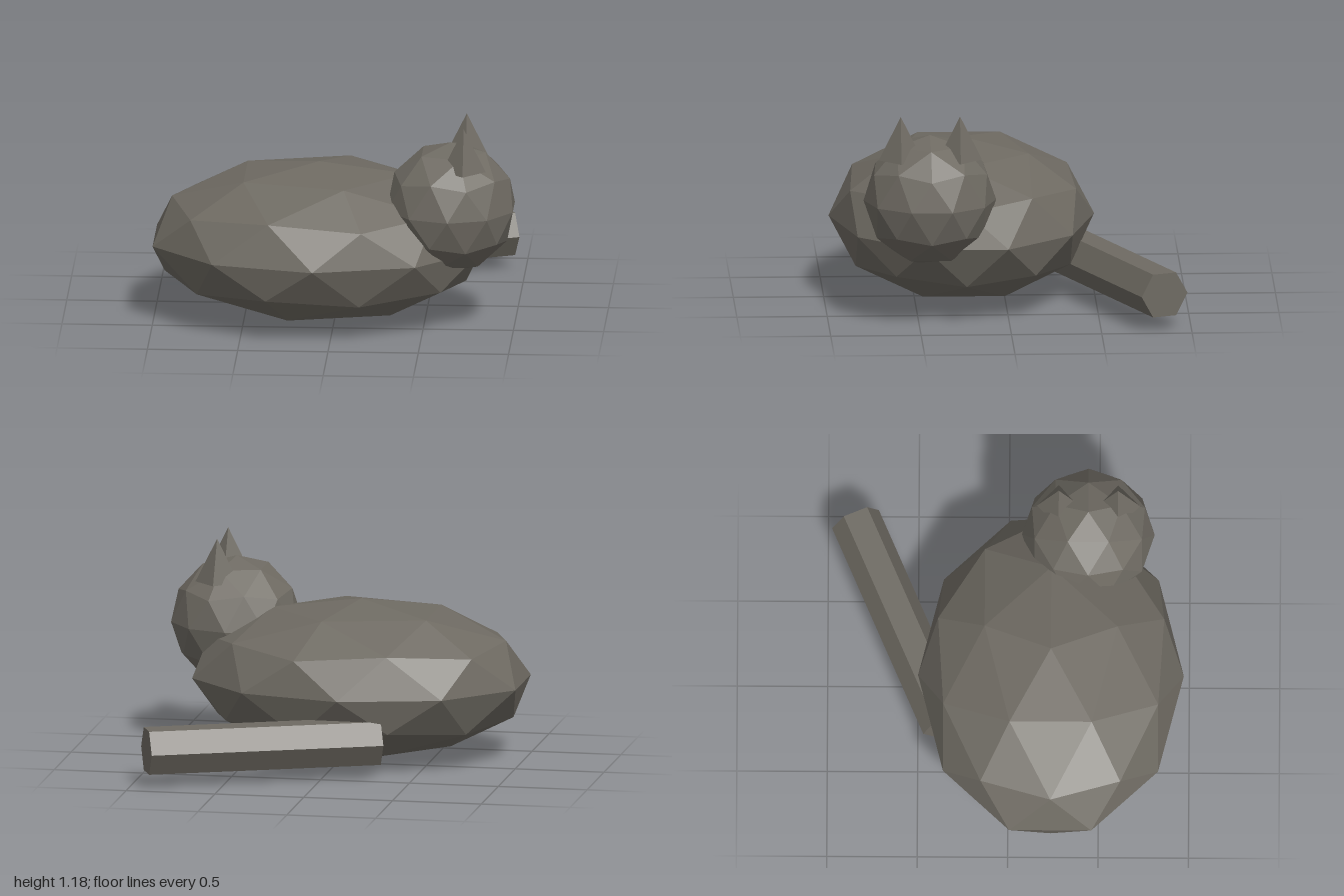
import * as THREE from 'three';

export function createModel() {
  const cat = new THREE.Group();
  cat.name = 'lyingCat';
  const fur = new THREE.MeshStandardMaterial({ name: 'warm grey fur', color: 0x6e6a62 });

  // One flat normal per face
  function add(name, geometry, x, y, z) {
    const flat = geometry.index ? geometry.toNonIndexed() : geometry;
    flat.computeVertexNormals();
    const mesh = new THREE.Mesh(flat, fur);
    mesh.name = name;
    mesh.position.set(x, y, z);
    cat.add(mesh);
    return mesh;
  }

  // Faceted ball with a corner of the icosahedron at its top
  function ball(rx, ry, rz) {
    const tilt = Math.atan(2 / (1 + Math.sqrt(5)));
    return new THREE.IcosahedronGeometry(1, 1).rotateZ(-tilt).scale(rx, ry, rz);
  }

  add('body', ball(0.957, 0.441, 0.735), -0.09, 0.443, 0.235);
  add('head', ball(0.367, 0.367, 0.367), 0.65, 0.692, 0.438);

  // Four-sided pointed ears
  for (const side of [-1, 1]) {
    add(side > 0 ? 'frontEar' : 'backEar', new THREE.ConeGeometry(0.122, 0.245, 4),
      0.73, 1.058, 0.438 + side * 0.164);
  }

  // Six-sided tail lying behind the body
  const tail = new THREE.CylinderGeometry(0.14, 0.14, 1.31, 6).rotateZ(Math.PI / 2).rotateY(0.4);
  add('tail', tail, 0.31, 0.2, -0.596);

  return cat;
}
